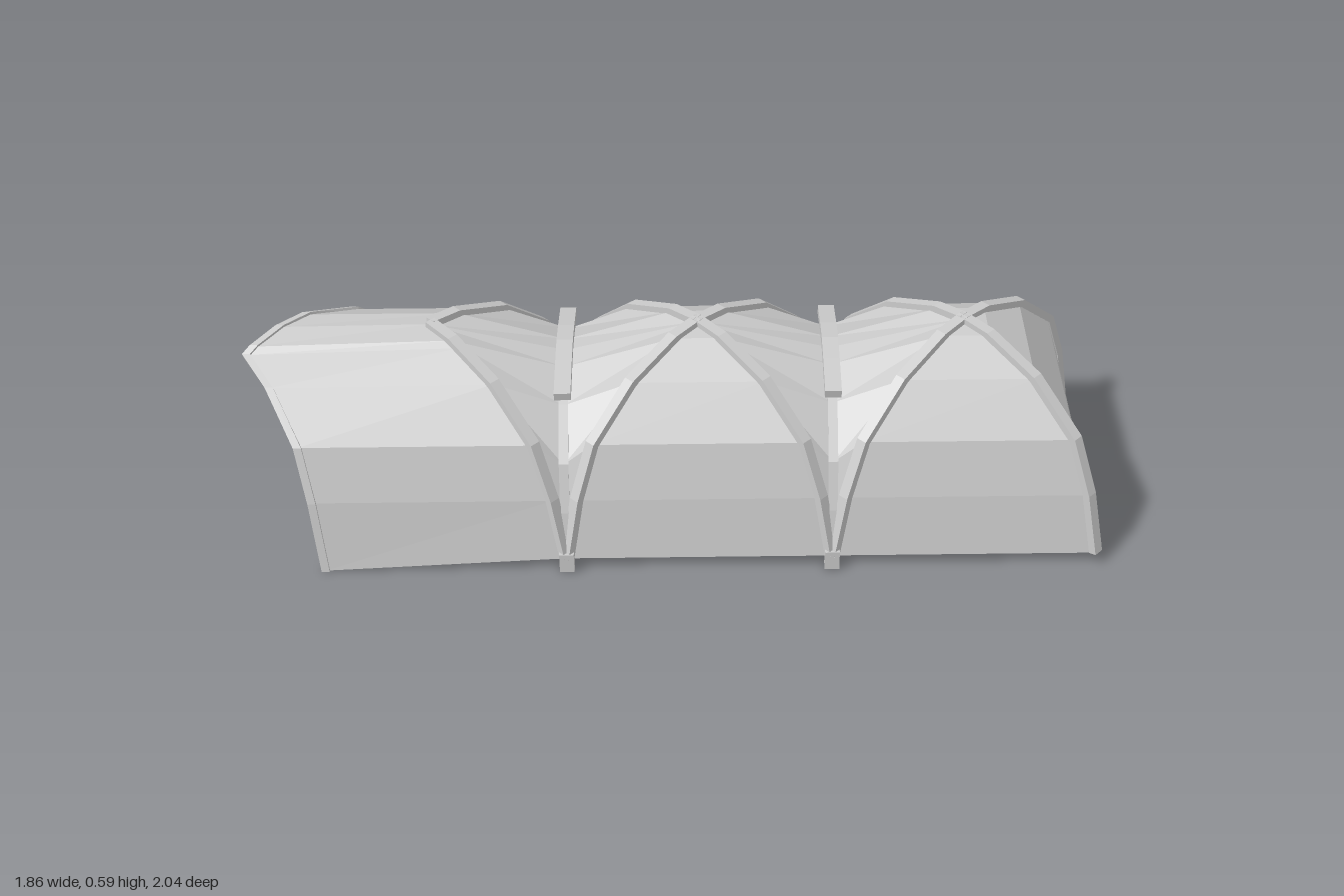
import * as THREE from 'three';

// Local frame: z runs along the tent, x across it
const HALF = 0.362, STEP = 0.728, BASE = 0.04;
// Arched profile: [distance from crown, height]
const PROFILE = [[0, 0.575], [0.065, 0.566], [0.18, 0.503], [0.285, 0.375], [0.331, 0.22], [HALF, BASE]];
// Lower arch where two bays meet
const VALLEY = [[0, 0.485], [0.065, 0.475], [0.18, 0.43], [0.285, 0.31], [0.331, 0.18], [HALF, BASE]];
// Slanted open mouth: [across, along]
const MOUTH = [[-HALF, 0.065], [-0.18, 0.235], [0.085, 0.49], [0.18, 0.42], [0.285, 0.345], [HALF, 0.3]];

const fabric = new THREE.MeshStandardMaterial({ color: 0xcccccc, flatShading: true, side: THREE.DoubleSide });
const frame = new THREE.MeshStandardMaterial({ color: 0xcccccc, flatShading: true });
const V = (x, y, z) => new THREE.Vector3(x, y, z);

function build(name, positions, material) {
  const g = new THREE.BufferGeometry();
  g.setAttribute('position', new THREE.Float32BufferAttribute(positions, 3));
  g.computeVertexNormals();
  const m = new THREE.Mesh(g, material);
  m.name = name;
  return m;
}

function quad(out, a, b, c, d) {
  for (const p of [a, b, c, a, c, d]) out.push(p.x, p.y, p.z);
}

// Cloth stretched between two rows of points
function cloth(name, rowA, rowB) {
  const out = [];
  for (let i = 0; i < rowA.length - 1; i++) quad(out, rowA[i], rowB[i], rowB[i + 1], rowA[i + 1]);
  return build(name, out, fabric);
}

// Rectangular bar following a bent path
function bar(name, path, side, width, thick) {
  const rings = path.map((p, i) => {
    const t = path[Math.min(i + 1, path.length - 1)].clone().sub(path[Math.max(i - 1, 0)]).normalize();
    const s = side.clone().normalize();
    const n = t.clone().cross(s).normalize();
    return [[-1, -1], [1, -1], [1, 1], [-1, 1]].map(([a, b]) =>
      p.clone().addScaledVector(s, a * width / 2).addScaledVector(n, b * thick / 2));
  });
  const out = [];
  for (let i = 0; i < rings.length - 1; i++)
    for (let k = 0; k < 4; k++) {
      const j = (k + 1) % 4;
      quad(out, rings[i][k], rings[i + 1][k], rings[i + 1][j], rings[i][j]);
    }
  const a = rings[0], z = rings[rings.length - 1];
  quad(out, a[0], a[1], a[2], a[3]);
  quad(out, z[3], z[2], z[1], z[0]);
  // side x tangent order gives inward winding, so flip every triangle
  for (let i = 0; i < out.length; i += 9)
    for (let k = 0; k < 3; k++) [out[i + 3 + k], out[i + 6 + k]] = [out[i + 6 + k], out[i + 3 + k]];
  return build(name, out, frame);
}

function lerpTable(table, x) {
  for (let i = 1; i < table.length; i++) {
    const [x0, y0] = table[i - 1], [x1, y1] = table[i];
    if (x <= x1) return y0 + (y1 - y0) * (x - x0) / (x1 - x0);
  }
  return table[table.length - 1][1];
}

const hip = (sx, sz) => PROFILE.map(([r, y]) => V(sx * r, y, sz * r));
const fullArch = (prof, z) => [
  ...prof.slice(1).reverse().map(([r, y]) => V(-r, y, z)),
  ...prof.map(([r, y]) => V(r, y, z))];

function addRib(bay, sx, sz) {
  const path = hip(sx, sz).map(p => p.add(V(0, 0.004, 0)));
  bay.add(bar('diagonalRib', path, V(sz, 0, -sx), 0.03, 0.022));
}

// Cloth between the hips and the low arch shared with the next bay
function addValley(bay, sz) {
  for (const sx of [-1, 1])
    bay.add(cloth('valleyPanel', hip(sx, sz), VALLEY.map(([r, y]) => V(sx * r, y, sz * HALF))));
}

// Closed end with a doorway in its lowest band
function addEndWall(bay) {
  const upper = PROFILE.slice(0, 5);
  bay.add(cloth('endWall', upper.map(([r, y]) => V(-r, y, -r)), upper.map(([r, y]) => V(r, y, -r))));
  const [r, y] = PROFILE[4];
  for (const s of [-1, 1])
    bay.add(cloth('doorSide', [V(s * 0.065, y, -r), V(s * 0.09, BASE, -HALF)],
      [V(s * r, y, -r), V(s * HALF, BASE - 0.005, -HALF)]));
}

// Barrel canopy from the rear hips to the open mouth
function addCanopy(bay) {
  const back = [], front = [];
  const extra = [[0.085, lerpTable(PROFILE, 0.085)]];
  const prof = [...PROFILE, ...extra].sort((a, b) => a[0] - b[0]);
  for (const p of fullArch(prof, 0)) {
    back.push(V(p.x, p.y, -Math.abs(p.x)));
    const z = lerpTable(MOUTH, p.x);
    const drop = p.x > 0.35 ? 0.035 : Math.max(0, z - 0.38) * 0.15;
    front.push(V(p.x, p.y - drop, z));
  }
  bay.add(cloth('canopy', back, front));
  bay.add(bar('mouthRim', front, V(0, 0, 1), 0.022, 0.014));
}

export function createModel() {
  const tent = new THREE.Group();
  tent.name = 'tent';
  tent.rotation.y = -0.776;
  tent.position.set(-0.105, 0, 0.02);

  // Three bays: closed end, middle, open end
  ['rearBay', 'middleBay', 'frontBay'].forEach((name, i) => {
    const bay = new THREE.Group();
    bay.name = name;
    bay.position.z = (i - 1) * STEP;
    for (const sx of [-1, 1]) {
      addRib(bay, sx, -1);
      if (i < 2) {
        addRib(bay, sx, 1);
        bay.add(cloth('sidePanel', hip(sx, -1), hip(sx, 1)));
      }
    }
    if (i === 0) addEndWall(bay); else addValley(bay, -1);
    if (i === 2) addCanopy(bay); else addValley(bay, 1);
    tent.add(bay);
  });

  // Joints between bays: seam arch, raised strap and feet
  for (const z of [-STEP / 2, STEP / 2]) {
    tent.add(bar('seamArch', fullArch(VALLEY, z), V(0, 0, 1), 0.026, 0.016));
    const strap = [V(-0.2, 0.473, z), V(-0.08, 0.497, z), V(0, 0.506, z), V(0.08, 0.497, z), V(0.2, 0.473, z)];
    tent.add(bar('ridgeStrap', strap, V(0, 0, 1), 0.045, 0.026));
    for (const s of [-1, 1]) {
      const foot = new THREE.Mesh(new THREE.BoxGeometry(0.03, 0.06, 0.04), frame);
      foot.name = 'foot';
      foot.position.set(s * (HALF + 0.002), 0.035, z);
      tent.add(foot);
    }
  }

  const model = new THREE.Group();
  model.name = 'vaultedTent';
  model.add(tent);
  return model;
}
